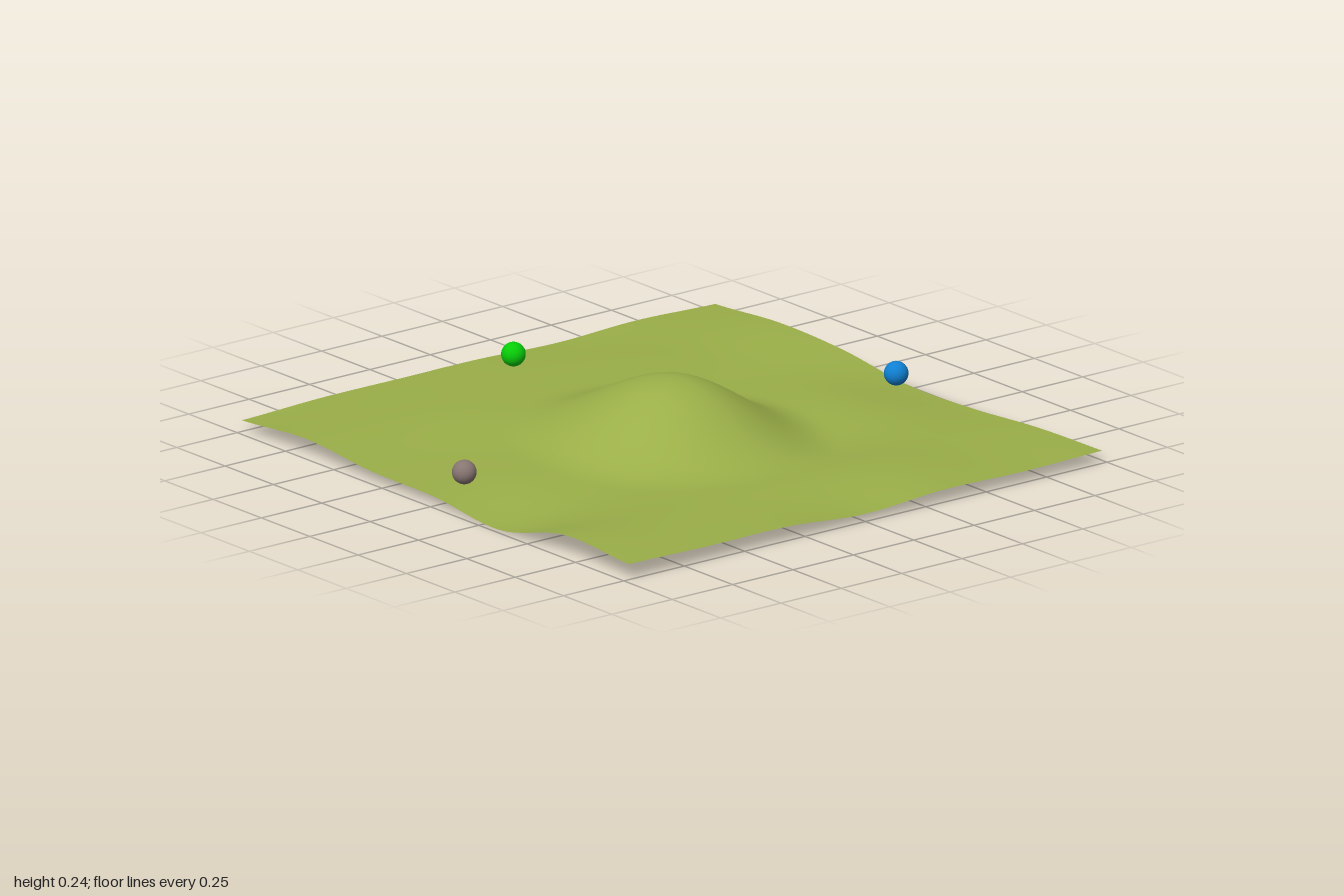
import * as THREE from 'three';

// Gentle ground heights in hundredths: rows run back to front, columns from -x to +x
const GROUND = [
  [4, 5, 5, 5, 4, 5, 4],
  [6, 6, 6, 6, 6, 5, 6],
  [3.5, 4, 6, 5.5, 4, 4, 5],
  [3, 4.5, 5, 4.5, 4, 4.5, 1.5],
  [0.3, 3, 4, 3, 2.5, 3.5, 2],
  [7, 5.5, 5, 5.5, 5.5, 4, 4],
  [5.5, 5, 5, 2.8, 4.5, 4, 4.5],
];
const HALF_X = 0.98, HALF_Z = 1;

// Smooth interpolation through a list of evenly spaced values, t in 0..1
function spline(values, t) {
  const last = values.length - 1;
  const i = Math.min(Math.floor(t * last), last - 1), f = t * last - i;
  const at = (k) => values[Math.max(0, Math.min(last, k))];
  const [a, b, c, d] = [at(i - 1), at(i), at(i + 1), at(i + 2)];
  return b + 0.5 * f * (c - a + f * (2 * a - 5 * b + 4 * c - d + f * (3 * (b - c) + d - a)));
}

// Rounded hill with a different reach on each side
function hill(x, z) {
  const dx = x / (x < 0 ? 0.55 : 0.5);
  const dz = (z - 0.02) / (z < 0.02 ? 0.59 : 0.58);
  const r = Math.min(1, Math.hypot(dx, dz));
  return 0.1 * (1 + Math.cos(Math.PI * r));
}

function height(x, z) {
  const u = (x / HALF_X + 1) / 2, v = (z / HALF_Z + 1) / 2;
  return spline(GROUND.map((row) => spline(row, u)), v) / 100 + hill(x, z);
}

export function createModel() {
  const model = new THREE.Group();

  // Grassy sheet of terrain with the central hill
  const geo = new THREE.PlaneGeometry(2 * HALF_X, 2 * HALF_Z, 80, 80).rotateX(-Math.PI / 2);
  const p = geo.attributes.position;
  for (let i = 0; i < p.count; i++) p.setY(i, height(p.getX(i), p.getZ(i)));
  geo.computeBoundingBox();
  geo.translate(0, -geo.boundingBox.min.y, 0);
  geo.computeVertexNormals();
  const terrain = new THREE.Mesh(geo, new THREE.MeshStandardMaterial({ color: 0x9aae48, side: THREE.DoubleSide }));
  terrain.name = 'terrain';
  model.add(terrain);

  // Three marker balls near the edges
  const balls = [
    ['greyBall', 0x877672, -0.86, 0],
    ['blueBall', 0x0f80d2, 0.88, 0.06],
    ['greenBall', 0x08cc08, 0.04, -0.87],
  ];
  const ballGeo = new THREE.SphereGeometry(0.04, 32, 20);
  for (const [name, color, x, z] of balls) {
    const ball = new THREE.Mesh(ballGeo, new THREE.MeshStandardMaterial({ color }));
    ball.name = name;
    ball.position.set(x, 0.09, z);
    model.add(ball);
  }
  return model;
}
